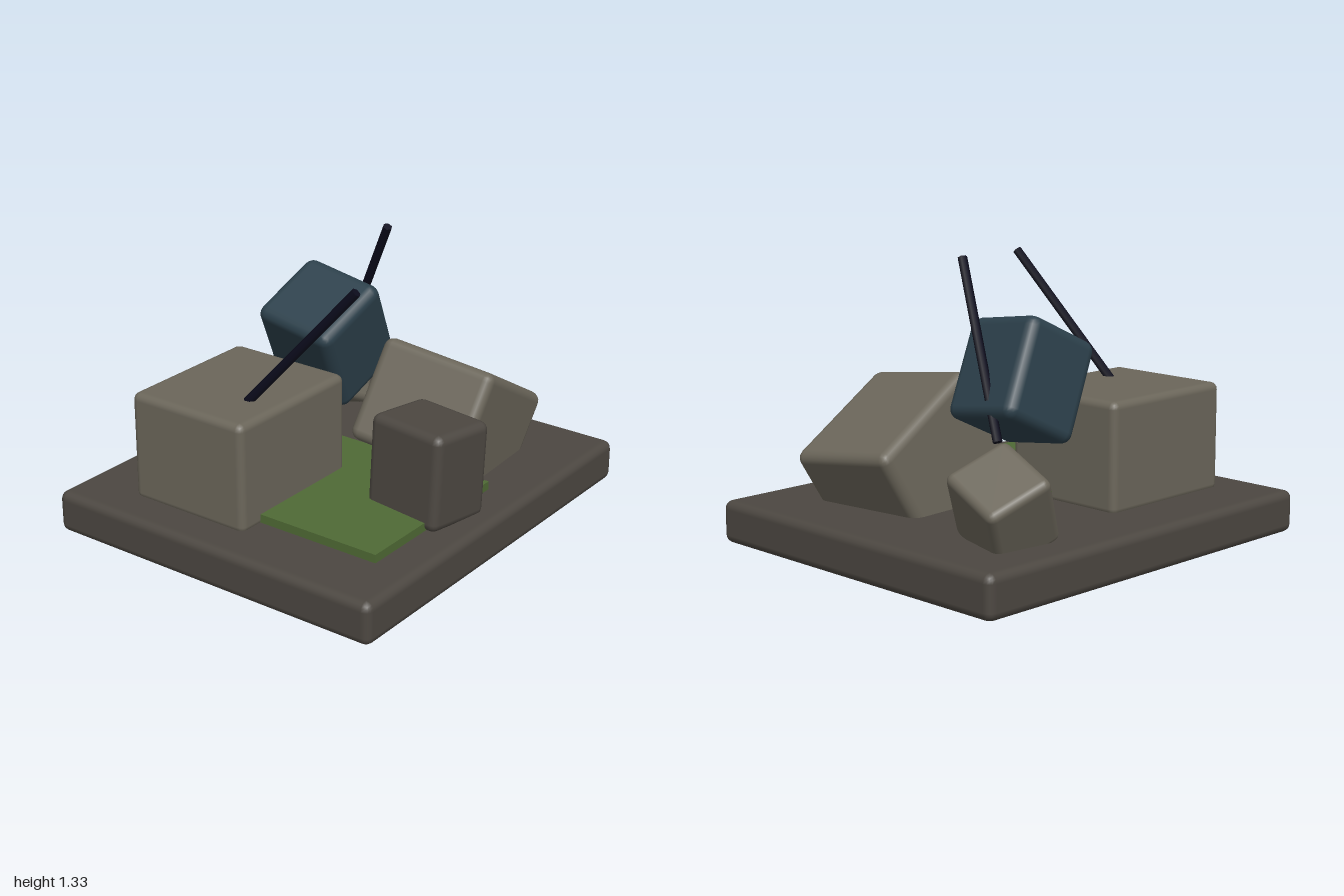
import * as THREE from 'three';
import { RoundedBoxGeometry } from 'three/addons/geometries/RoundedBoxGeometry.js';

function mat(name, color) {
  const m = new THREE.MeshStandardMaterial({ color });
  m.name = name;
  return m;
}

export function createModel() {
  const group = new THREE.Group();
  const darkStone = mat('dark stone', 0x4c4741);
  const paleStone = mat('pale stone', 0x6b665a);
  const blue = mat('slate blue', 0x2c404b);
  const moss = mat('moss green', 0x4f6a35);
  const iron = mat('dark iron', 0x0b0b1c);

  const add = (name, geometry, material, position, rotation = [0, 0, 0]) => {
    const mesh = new THREE.Mesh(geometry, material);
    mesh.name = name;
    mesh.position.set(...position);
    mesh.rotation.set(...rotation);
    group.add(mesh);
    return mesh;
  };
  const block = (name, size, radius, material, position, rotation) =>
    add(name, new RoundedBoxGeometry(...size, 2, radius), material, position, rotation);

  // Ground slab and moss patch
  block('baseSlab', [2, 0.2, 1.744], 0.04, darkStone, [0, 0.1, 0]);
  add('mossPatch', new THREE.BoxGeometry(0.875, 0.04, 0.875), moss, [-0.25, 0.22, 0.243]);

  // Fallen rubble blocks
  block('uprightBlock', [0.74, 0.52, 0.63], 0.035, paleStone, [-0.44, 0.44, -0.255]);
  block('smallDarkBlock', [0.34, 0.45, 0.41], 0.04, darkStone,
    [-0.126, 0.41, 0.556], [0, -0.14, -0.06]);
  block('leaningBlock', [0.66, 0.5, 0.58], 0.045, paleStone,
    [0.385, 0.4, 0.315], [0.12, 0.06, -0.52]);
  block('blueBlock', [0.41, 0.48, 0.43], 0.05, blue,
    [0.127, 0.78, -0.19], [0.14, -0.05, 0.47]);
  block('smallPaleBlock', [0.32, 0.36, 0.34], 0.035, paleStone,
    [0.623, 0.355, -0.57], [-0.4, -0.1, -0.5]);

  // Bare reinforcing rods sticking out of the rubble
  const rod = (name, from, to) => {
    const a = new THREE.Vector3(...from);
    const b = new THREE.Vector3(...to);
    const dir = b.clone().sub(a);
    const geometry = new THREE.CylinderGeometry(0.022, 0.022, dir.length(), 6);
    const mesh = add(name, geometry, iron, a.add(b).multiplyScalar(0.5).toArray());
    mesh.quaternion.setFromUnitVectors(new THREE.Vector3(0, 1, 0), dir.normalize());
  };
  rod('leftRod', [-0.57, 0.64, -0.15], [-0.436, 1.272, 0.392]);
  rod('rightRod', [0.405, 0.56, -0.32], [0.24, 1.318, 0.067]);

  return group;
}
